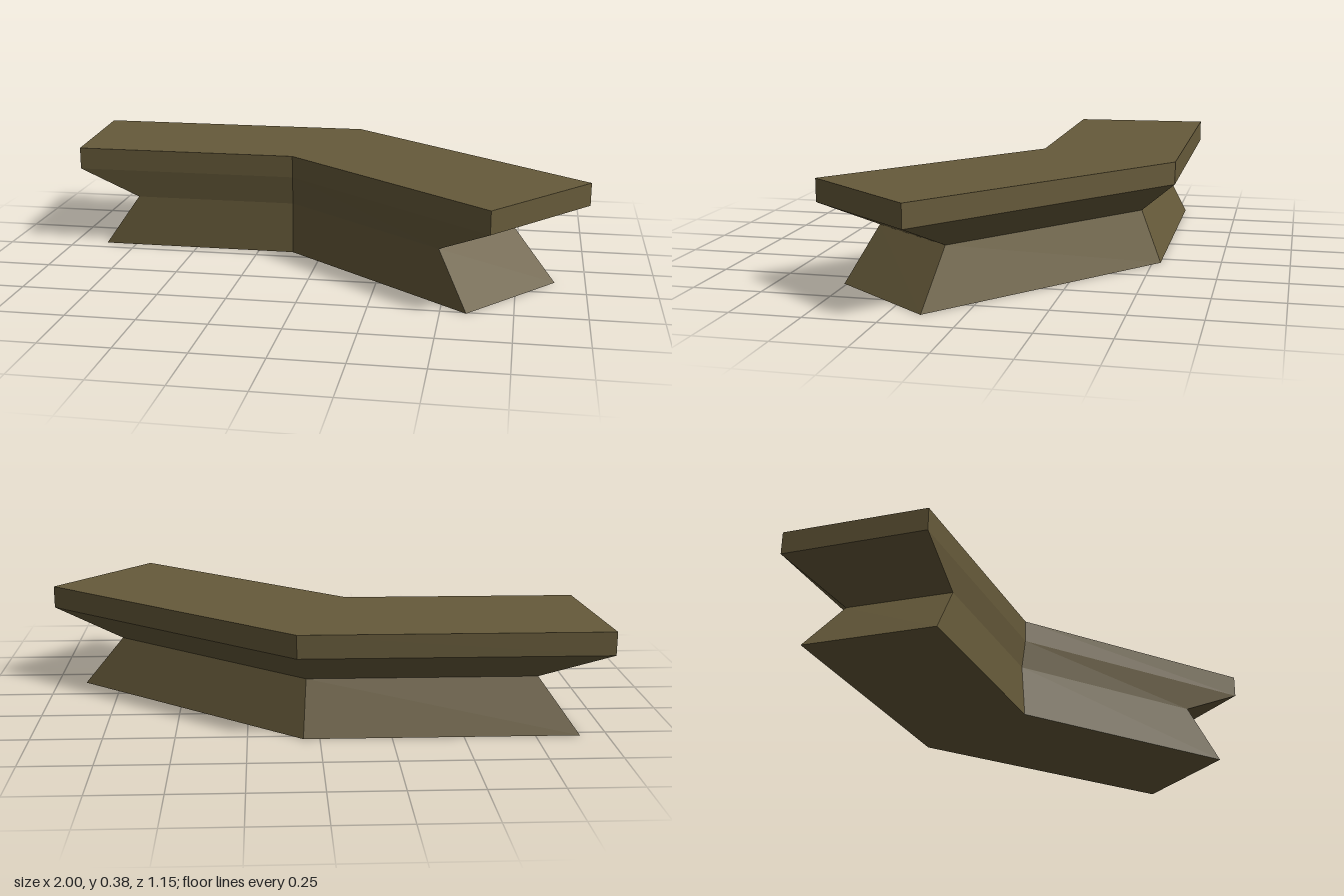
import * as THREE from 'three';

// Plan outlines (x, z), corners running: back left end, back bend, far end back,
// far end front, inner bend, left end front.
const FOOT = [[-0.905, -0.53], [0.057, -0.53], [0.89, 0.14], [0.59, 0.51], [-0.115, -0.055], [-0.87, -0.055]];
const NECK = [[-0.765, -0.455], [0.045, -0.455], [0.735, 0.10], [0.485, 0.412], [-0.115, -0.068], [-0.735, -0.068]];
const TOP = [[-1, -0.578], [0.08, -0.578], [1, 0.16], [0.663, 0.575], [-0.115, -0.055], [-0.965, -0.055]];

// The two arms of the bent plan, counter-clockwise from above
const ARMS = [[0, 5, 4, 1], [1, 4, 3, 2]];

// Flat-sided band between two outlines, with optional closing faces
function band(lower, y0, upper, y1, capBottom, capTop) {
  const pos = [];
  const quad = (a, b, c, d) => [a, b, c, a, c, d].forEach((p) => pos.push(...p));
  const lo = lower.map(([x, z]) => [x, y0, z]);
  const up = upper.map(([x, z]) => [x, y1, z]);
  lo.forEach((_, i) => {
    const j = (i + 1) % lo.length;
    quad(lo[i], up[i], up[j], lo[j]);
  });
  for (const arm of ARMS) {
    if (capTop) quad(...arm.map((i) => up[i]));
    if (capBottom) quad(...arm.map((i) => lo[i]).reverse());
  }
  const geo = new THREE.BufferGeometry();
  geo.setAttribute('position', new THREE.Float32BufferAttribute(pos, 3));
  geo.computeVertexNormals();
  return geo;
}

export function createModel() {
  const model = new THREE.Group();
  model.name = 'bentCounter';
  const olive = new THREE.MeshStandardMaterial({ color: 0x665a3a });
  olive.name = 'olive brown';

  const add = (name, geo) => {
    const mesh = new THREE.Mesh(geo, olive);
    mesh.name = name;
    model.add(mesh);
  };

  // Base narrows to the neck, flares out again, and carries the slab
  add('base', band(FOOT, 0, NECK, 0.194, true, false));
  add('flare', band(NECK, 0.194, TOP, 0.302, false, false));
  add('topSlab', band(TOP, 0.302, TOP, 0.385, false, true));
  return model;
}
